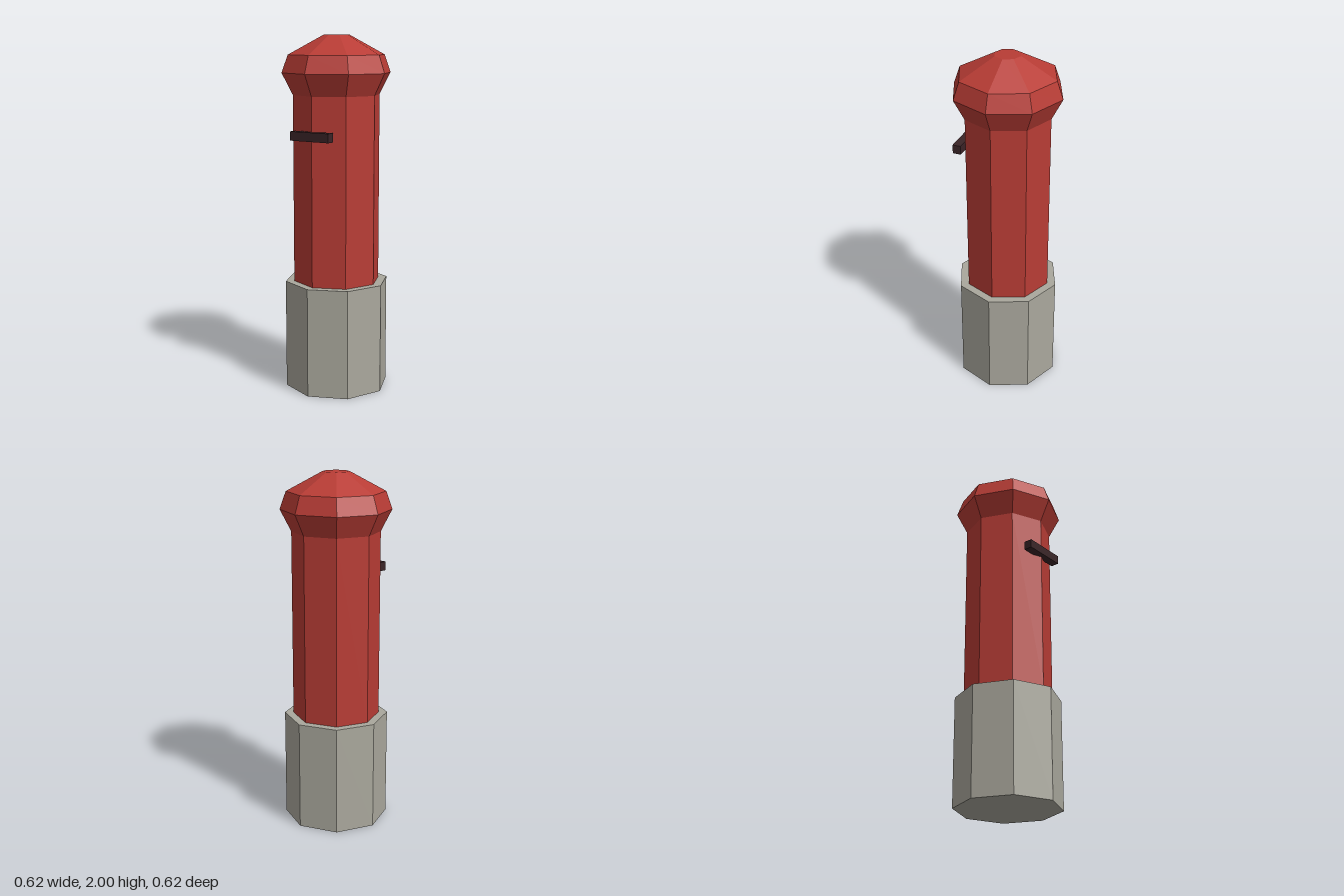
import * as THREE from 'three';

const SIDES = 8;

const material = (name, color) => {
  const m = new THREE.MeshStandardMaterial({ color, flatShading: true });
  m.name = name;
  return m;
};

// Faceted solid turned from a bottom-to-top profile of [radius, height], a corner facing the front
function turned(name, profile, mat) {
  const points = profile.map(([r, y]) => new THREE.Vector2(r, y));
  const geometry = new THREE.LatheGeometry(points, SIDES).toNonIndexed();
  geometry.computeVertexNormals();
  const mesh = new THREE.Mesh(geometry, mat);
  mesh.name = name;
  return mesh;
}

export function createModel() {
  const red = material('pillar red', 0xb83c35);
  const stone = material('stone grey', 0xaaa89d);
  const dark = material('slot dark', 0x3a2427);

  const model = new THREE.Group();
  model.name = 'pillarPostBox';

  // Stone plinth
  model.add(turned('plinth', [[0, 0], [0.295, 0], [0.295, 0.62], [0, 0.62]], stone));

  // Shaft, running up into the cap
  model.add(turned('shaft', [[0.246, 0.62], [0.246, 1.674]], red));

  // Flared cap with a sloped roof and a small flat top
  model.add(turned('cap', [[0.246, 1.674], [0.308, 1.795], [0.273, 1.893], [0.074, 2], [0, 2]], red));

  // Letter slot bar, crossing the front corner
  const slot = new THREE.Mesh(new THREE.BoxGeometry(0.25, 0.05, 0.047), dark);
  slot.name = 'letterSlot';
  slot.position.set(0, 1.459, 0.248);
  model.add(slot);

  return model;
}
